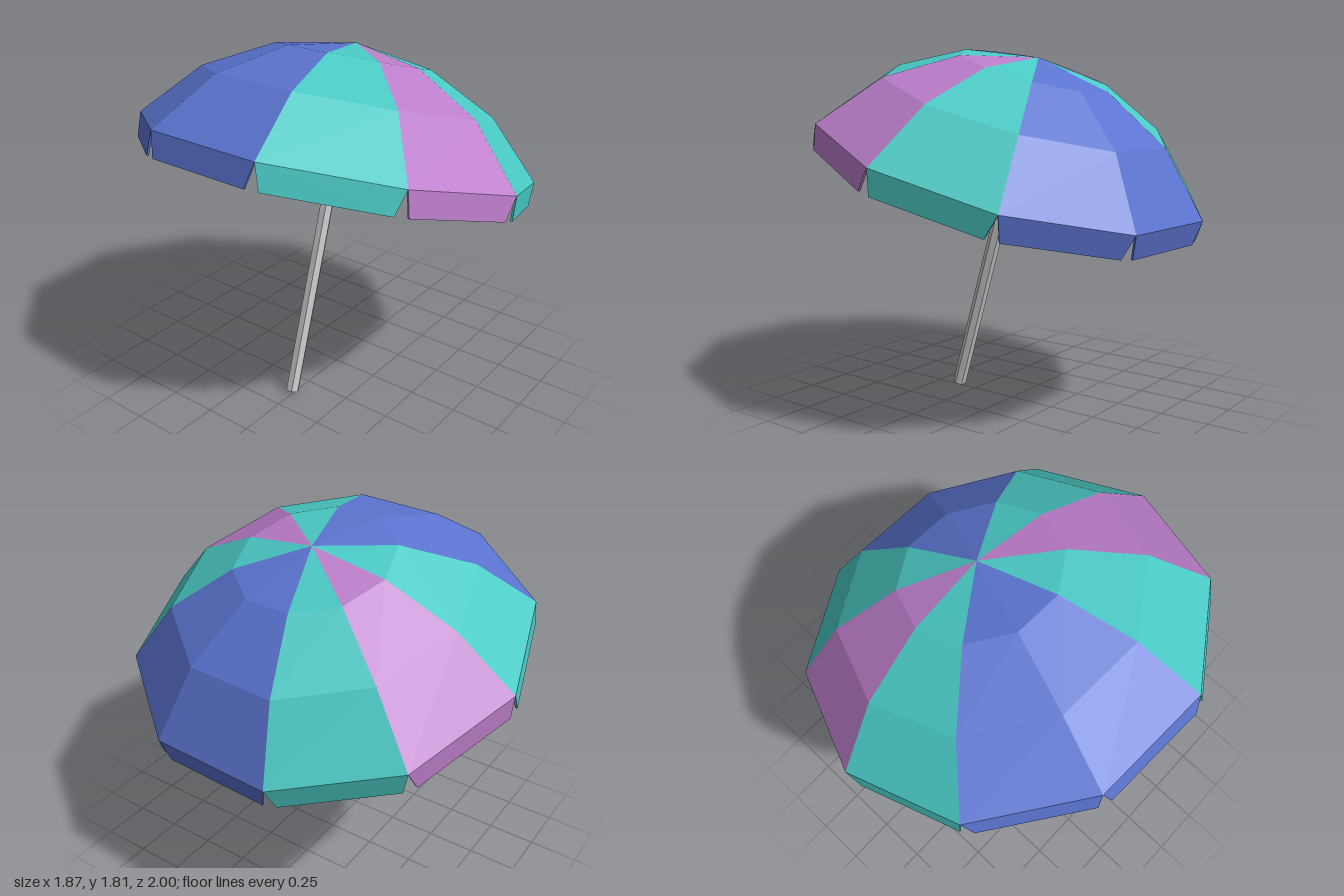
import * as THREE from 'three';

const SIDES = 10;
const STEP = (Math.PI * 2) / SIDES;
const START = THREE.MathUtils.degToRad(-16);
const TILT = THREE.MathUtils.degToRad(17);

// canopy profile from rim to crown: [radius, height]
const RINGS = [[1, 0], [0.73, 0.28], [0.385, 0.455], [0, 0.52]];

const makeMaterial = (color) =>
  new THREE.MeshStandardMaterial({ color, flatShading: true, side: THREE.DoubleSide });

// one gore of the canopy, between two ribs
function panelGeometry(a, b) {
  const at = ([r, h], angle) => [r * Math.cos(angle), h, r * Math.sin(angle)];
  const positions = [];
  for (let i = 0; i < RINGS.length - 1; i++) {
    const lowA = at(RINGS[i], a), lowB = at(RINGS[i], b);
    const highA = at(RINGS[i + 1], a), highB = at(RINGS[i + 1], b);
    positions.push(...lowA, ...highA, ...lowB);
    if (RINGS[i + 1][0] > 0) positions.push(...highA, ...highB, ...lowB);
  }
  const geometry = new THREE.BufferGeometry();
  geometry.setAttribute('position', new THREE.Float32BufferAttribute(positions, 3));
  geometry.computeVertexNormals();
  return geometry;
}

// tapered strip hanging from the rim, its outer face at z = 0
function flapGeometry() {
  const half = Math.sin(STEP / 2), inset = 0.035, drop = 0.12, thickness = 0.01;
  const shape = new THREE.Shape([
    new THREE.Vector2(-half, 0),
    new THREE.Vector2(-half + inset, -drop),
    new THREE.Vector2(half - inset, -drop),
    new THREE.Vector2(half, 0),
  ]);
  return new THREE.ExtrudeGeometry(shape, { depth: thickness, bevelEnabled: false })
    .translate(0, 0, -thickness);
}

export function createModel() {
  const model = new THREE.Group();
  model.name = 'beachUmbrella';

  const blue = makeMaterial(0x5b74d0);
  const teal = makeMaterial(0x4acac5);
  const purple = makeMaterial(0xbb7dca);
  const pattern = [blue, blue, teal, purple, teal];

  // tilted canopy
  const canopy = new THREE.Group();
  canopy.name = 'canopy';
  canopy.position.set(0.01, 1.27, 0);
  canopy.rotation.z = -TILT;
  model.add(canopy);

  const flapShape = flapGeometry();
  const apothem = Math.cos(STEP / 2);
  for (let i = 0; i < SIDES; i++) {
    const a = START + i * STEP;
    const mid = a + STEP / 2;
    const material = pattern[i % pattern.length];

    const panel = new THREE.Mesh(panelGeometry(a, a + STEP), material);
    panel.name = 'canopyPanel';

    const flap = new THREE.Mesh(flapShape, material);
    flap.name = 'rimFlap';
    flap.position.set(apothem * Math.cos(mid), 0, apothem * Math.sin(mid));
    flap.rotation.y = Math.PI / 2 - mid;
    canopy.add(panel, flap);
  }

  // six-sided pole from the ground to the crown
  const foot = new THREE.Vector3(-0.372, 0.01, -0.012);
  const crown = new THREE.Vector3(0.157, 1.745, 0);
  const axis = crown.clone().sub(foot);
  const pole = new THREE.Mesh(
    new THREE.CylinderGeometry(0.035, 0.035, axis.length(), 6),
    new THREE.MeshStandardMaterial({ color: 0xcccccc, flatShading: true })
  );
  pole.name = 'pole';
  pole.position.copy(foot).add(crown).multiplyScalar(0.5);
  pole.quaternion.setFromUnitVectors(new THREE.Vector3(0, 1, 0), axis.normalize());
  model.add(pole);

  return model;
}
